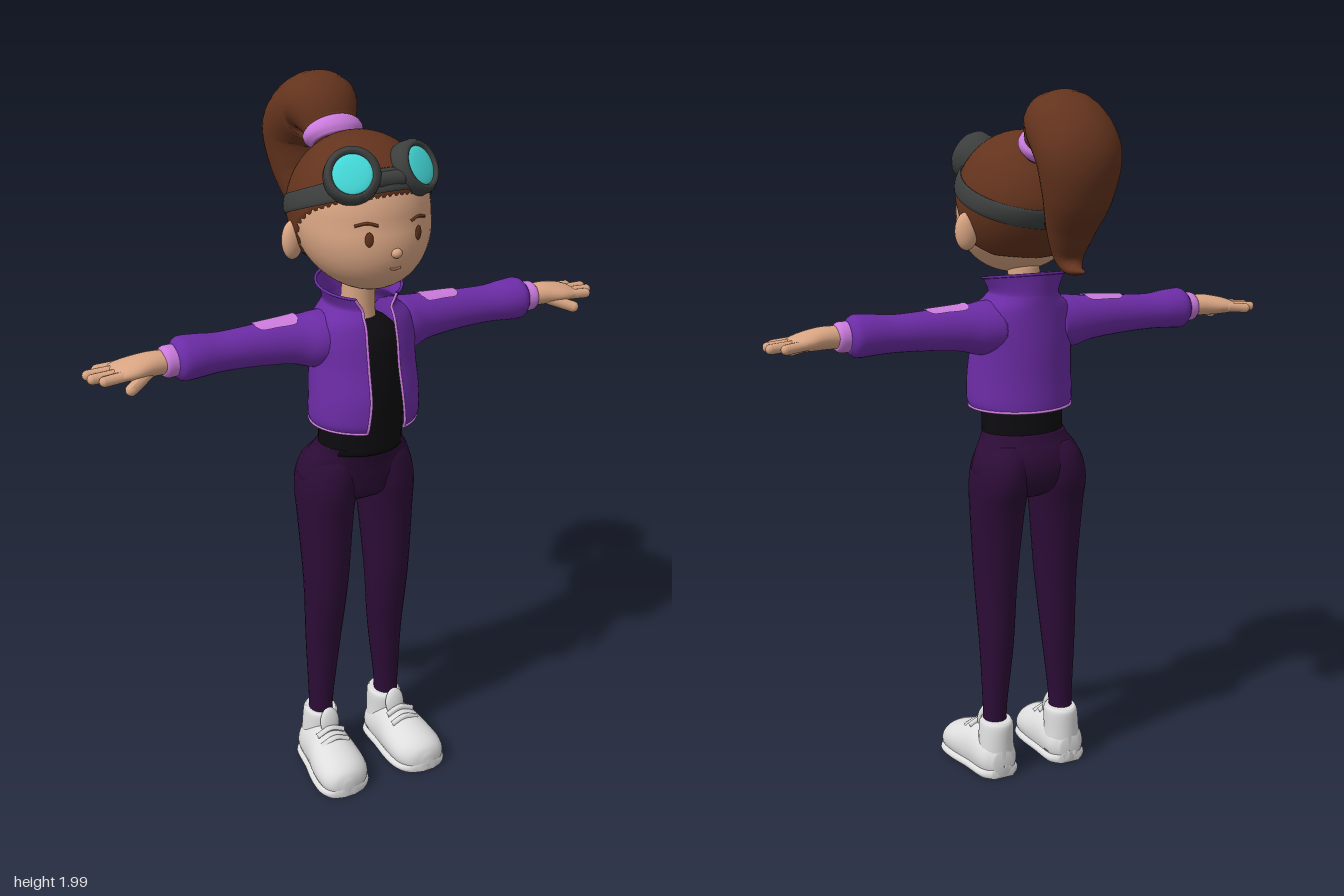
import * as THREE from 'three';
import { mergeVertices } from 'three/addons/utils/BufferGeometryUtils.js';

const V = (x, y, z) => new THREE.Vector3(x, y, z);
const X = V(1, 0, 0), Y = V(0, 1, 0), Z = V(0, 0, 1);

const paint = (name, color, side = THREE.FrontSide) => {
  const m = new THREE.MeshStandardMaterial({ color, side });
  m.name = name;
  return m;
};

// Skin of elliptical rings. Row: [x, y, z, radius along A, radius across, half gap angle]
function loft(rows, { A = X, T = null, seg = 28, steps = 5, open = false } = {}) {
  const path = new THREE.CatmullRomCurve3(rows.map(r => V(r[0], r[1], r[2])), false, 'catmullrom');
  const size = new THREE.CatmullRomCurve3(rows.map(r => V(r[3], r[4], r[5] || 0)), false, 'catmullrom');
  const n = (rows.length - 1) * steps, cols = open ? seg + 1 : seg, pos = [], idx = [];
  for (let i = 0; i <= n; i++) {
    const p = path.getPoint(i / n), s = size.getPoint(i / n);
    const B = (T || path.getTangent(i / n)).clone().cross(A).normalize();
    for (let j = 0; j < cols; j++) {
      const a = s.z + (2 * Math.PI - 2 * s.z) * j / seg;
      const q = p.clone().addScaledVector(A, Math.cos(a) * s.x).addScaledVector(B, Math.sin(a) * s.y);
      pos.push(q.x, q.y, q.z);
    }
  }
  for (let i = 0; i < n; i++) for (let j = 0; j < seg; j++) {
    const k = (j + 1) % cols, a = i * cols + j, b = i * cols + k;
    idx.push(a, b, b + cols, a, b + cols, a + cols);
  }
  if (!open) for (const end of [0, 1]) {
    const c = path.getPoint(end), m = pos.length / 3, o = end * n * cols;
    pos.push(c.x, c.y, c.z);
    for (let j = 0; j < seg; j++) {
      const k = (j + 1) % cols;
      end ? idx.push(m, o + j, o + k) : idx.push(m, o + k, o + j);
    }
  }
  const g = new THREE.BufferGeometry();
  g.setAttribute('position', new THREE.Float32BufferAttribute(pos, 3));
  g.setIndex(idx);
  g.computeVertexNormals();
  return g;
}

// Move every vertex by a rule on its position
function warp(g, rule) {
  const p = g.attributes.position, v = V(0, 0, 0);
  for (let i = 0; i < p.count; i++) {
    v.fromBufferAttribute(p, i);
    rule(v);
    p.setXYZ(i, v.x, v.y, v.z);
  }
  g.computeVertexNormals();
  return g;
}

// Replace every vertex by a rule on its surface parameters
function remap(g, rule) {
  const p = g.attributes.position, uv = g.attributes.uv;
  for (let i = 0; i < p.count; i++) p.setXYZ(i, ...rule(uv.getX(i), uv.getY(i)).toArray());
  g.deleteAttribute('uv');
  g.deleteAttribute('normal');
  g = mergeVertices(g, 1e-5);
  g.computeVertexNormals();
  return g;
}

function mirrored(g) {
  const m = g.clone().scale(-1, 1, 1), ix = m.index.array;
  for (let i = 0; i < ix.length; i += 3) [ix[i], ix[i + 1]] = [ix[i + 1], ix[i]];
  m.computeVertexNormals();
  return m;
}

const blob = (x, y, z, a, b, c, ry = 0, rx = 0) =>
  new THREE.SphereGeometry(1, 24, 16).scale(a, b, c).rotateX(rx).rotateY(ry).translate(x, y, z);
const tube = (pts, r) => new THREE.TubeGeometry(new THREE.CatmullRomCurve3(pts), pts.length * 4, r, 6);
function capsule(p, q, r) {
  const d = q.clone().sub(p), g = new THREE.CapsuleGeometry(r, d.length(), 6, 12);
  g.applyQuaternion(new THREE.Quaternion().setFromUnitVectors(Y, d.clone().normalize()));
  return g.translate((p.x + q.x) / 2, (p.y + q.y) / 2, (p.z + q.z) / 2);
}

// Head shape: ellipsoid whose lower half leans forward
const headPoint = (x, y, z, s = 1) => {
  const h = 1.68 + 0.195 * s * y;
  return V(0.185 * s * x, h, 0.1 + 0.19 * s * z + 0.3 * Math.max(0, 1.68 - h));
};
const facePoint = (x, y) => {
  const a = x / 0.185, b = (y - 1.68) / 0.195;
  return headPoint(a, b, Math.sqrt(1 - a * a - b * b), 1.005);
};
// Polar angle of the hairline, by angle from the front
const hairline = [[0, 1.2], [0.7, 1.25], [1.2, 1.45], [1.5, 1.7], [1.75, 2.15], [2.2, 2.35], [3.15, 2.42]];
function hairLimit(a) {
  const i = Math.max(1, hairline.findIndex(h => h[0] >= a)), [p, q] = [hairline[i - 1], hairline[i]];
  return THREE.MathUtils.lerp(p[1], q[1], (a - p[0]) / (q[0] - p[0]));
}

export function createModel() {
  const root = new THREE.Group();
  const skin = paint('skin', 0xd9a583), hair = paint('hair brown', 0x63331d);
  const purple = paint('jacket purple', 0x6c2ca6, THREE.DoubleSide), pink = paint('lavender', 0xcb7bdc, THREE.DoubleSide);
  const plum = paint('trouser plum', 0x2c0c36), black = paint('shirt black', 0x0d0b0f);
  const grey = paint('goggle grey', 0x3c3f3e), cyan = paint('lens cyan', 0x45dcdc);
  const white = paint('shoe white', 0xdedede), lip = paint('lip', 0xb57d66);
  const add = (name, g, mat) => {
    const m = new THREE.Mesh(g, mat);
    m.name = name;
    root.add(m);
  };
  const pair = (name, g, mat) => {
    add(name + 'Left', g, mat);
    add(name + 'Right', mirrored(g), mat);
  };

  // Head and face
  add('head', remap(new THREE.SphereGeometry(1, 48, 32), (u, v) => {
    const p = 2 * Math.PI * u, t = Math.PI * (1 - v);
    return headPoint(-Math.cos(p) * Math.sin(t), Math.cos(t), Math.sin(p) * Math.sin(t));
  }), skin);
  pair('ear', blob(0.183, 1.615, 0.08, 0.032, 0.052, 0.024, -0.3), skin);
  const e = facePoint(0.07, 1.652);
  pair('eye', blob(e.x, e.y, e.z, 0.011, 0.019, 0.005, 0.4), hair);
  pair('eyebrow', tube([[0.046, 1.685], [0.072, 1.692], [0.1, 1.685]].map(p => facePoint(...p)), 0.004), hair);
  add('nose', blob(0, 1.612, 0.298, 0.015, 0.013, 0.014), skin);
  add('mouth', tube([[-0.016, 1.572], [0, 1.569], [0.016, 1.572]].map(p => facePoint(...p)), 0.003), lip);
  add('neck', loft([[0, 1.33, 0.1, 0.06, 0.06], [0, 1.4, 0.095, 0.047, 0.048], [0, 1.53, 0.1, 0.045, 0.045]], { T: Y }), skin);

  // Hair cap with its edge tucked into the head
  add('hairCap', remap(new THREE.SphereGeometry(1, 64, 28), (u, v) => {
    const p = 2 * Math.PI * u;
    const t = (1 - v) * hairLimit(Math.acos(THREE.MathUtils.clamp(Math.sin(p), -1, 1)));
    return headPoint(-Math.cos(p) * Math.sin(t), Math.cos(t), Math.sin(p) * Math.sin(t), v < 0.01 ? 0.98 : 1.03);
  }), hair);
  add('ponytail', loft([
    [0, 1.82, -0.025, 0.06, 0.045], [0, 1.86, -0.06, 0.075, 0.056], [0, 1.905, -0.125, 0.108, 0.09],
    [0, 1.84, -0.212, 0.118, 0.095], [0, 1.74, -0.215, 0.1, 0.082], [0, 1.64, -0.178, 0.07, 0.058],
    [0, 1.57, -0.165, 0.045, 0.036], [0, 1.535, -0.19, 0.028, 0.017], [0, 1.533, -0.25, 0.004, 0.004],
  ], { seg: 36, steps: 7 }), hair);
  add('hairTie', loft([[0, 1.828, -0.03, 0.07, 0.055], [0, 1.84, -0.04, 0.083, 0.062],
    [0, 1.853, -0.051, 0.083, 0.062], [0, 1.862, -0.06, 0.07, 0.055]]), pink);

  // Goggles: strap, cups, lenses, bridge and rear buckle
  add('goggleStrap', remap(new THREE.TorusGeometry(1, 0.1, 10, 72), (u, v) => {
    const a = 2 * Math.PI * u, b = 2 * Math.PI * v, s = 1.04 + 0.025 * Math.cos(b);
    const y = (1.722 + 0.07 * Math.cos(a) + 0.027 * Math.sin(b) - 1.68) / (0.195 * s);
    const q = Math.sqrt(1 - y * y);
    return headPoint(q * Math.sin(a), y, q * Math.cos(a), s);
  }), grey);
  const cup = [[0.066, -0.045], [0.073, -0.01], [0.071, 0.018], [0.062, 0.03], [0.053, 0.03], [0.049, 0.018]];
  const aim = new THREE.Quaternion().setFromUnitVectors(Y, V(0.38, 0.45, 0.81).normalize());
  const place = g => g.applyQuaternion(aim).translate(0.088, 1.802, 0.225);
  pair('goggleCup', place(new THREE.LatheGeometry(cup.map(p => new THREE.Vector2(...p)), 32)), grey);
  pair('goggleLens', place(new THREE.SphereGeometry(1, 28, 8, 0, 2 * Math.PI, 0, Math.PI / 2)
    .scale(0.052, 0.009, 0.052).translate(0, 0.02, 0)), cyan);
  add('goggleBridge', capsule(V(-0.03, 1.79, 0.255), V(0.03, 1.79, 0.255), 0.022), grey);
  add('strapBuckle', new THREE.CylinderGeometry(0.034, 0.034, 0.016, 20).rotateX(Math.PI / 2)
    .translate(0, 1.645, -0.1), plum);

  // Shirt
  add('shirt', loft([[0, 1.02, 0.11, 0.121, 0.097], [0, 1.1, 0.115, 0.12, 0.099], [0, 1.22, 0.118, 0.12, 0.105],
    [0, 1.33, 0.112, 0.11, 0.1], [0, 1.375, 0.1, 0.08, 0.08], [0, 1.39, 0.097, 0.05, 0.05]], { T: Y }), black);

  // Open jacket with raised collar, trimmed along its edges
  const cols = 49, jacket = warp(loft([
    [0, 1.11, 0.126, 0.137, 0.148, 0.38], [0, 1.135, 0.13, 0.141, 0.154, 0.36], [0, 1.2, 0.13, 0.139, 0.152, 0.32],
    [0, 1.28, 0.12, 0.13, 0.148, 0.31], [0, 1.345, 0.115, 0.124, 0.148, 0.31], [0, 1.395, 0.11, 0.118, 0.135, 0.33],
    [0, 1.425, 0.104, 0.112, 0.105, 0.43], [0, 1.442, 0.102, 0.11, 0.097, 0.47], [0, 1.482, 0.1, 0.113, 0.115, 0.56],
  ], { A: Z, T: Y, seg: cols - 1, open: true }), v => {
    v.y -= THREE.MathUtils.smoothstep(v.y, 1.42, 1.485) * (v.z - 0.1) * 0.15;
  });
  add('jacket', jacket, purple);
  const jp = jacket.attributes.position, rings = jp.count / cols;
  const edge = (start, stride, count) =>
    tube(Array.from({ length: count }, (_, i) => V(0, 0, 0).fromBufferAttribute(jp, start + i * stride)), 0.004);
  add('hemTrim', edge(0, 1, cols), pink);
  add('collarTrim', edge((rings - 1) * cols, 1, cols), purple);
  add('frontTrimLeft', edge(0, cols, rings), pink);
  add('frontTrimRight', edge(cols - 1, cols, rings), pink);

  // Sleeves, shoulder patches, cuffs
  pair('sleeve', loft([[0.09, 1.343, 0.1, 0.085, 0.076], [0.14, 1.343, 0.098, 0.078, 0.075], [0.2, 1.348, 0.092, 0.062, 0.064],
    [0.3, 1.35, 0.09, 0.052, 0.056], [0.4, 1.35, 0.09, 0.052, 0.052], [0.47, 1.352, 0.092, 0.06, 0.057],
    [0.51, 1.352, 0.092, 0.06, 0.058], [0.53, 1.352, 0.092, 0.043, 0.043]], { A: Z }), purple);
  const pg = Math.PI - 0.6;
  pair('shoulderPatch', loft([[0.185, 1.347, 0.093, 0.071, 0.069, pg + 0.25], [0.2, 1.348, 0.092, 0.068, 0.066, pg],
    [0.25, 1.349, 0.091, 0.064, 0.06, pg], [0.29, 1.35, 0.09, 0.061, 0.056, pg], [0.305, 1.35, 0.09, 0.06, 0.056, pg + 0.25]],
    { A: V(0, -1, 0), open: true, seg: 12 }), pink);
  pair('cuff', loft([[0.51, 1.352, 0.094, 0.042, 0.041], [0.55, 1.352, 0.095, 0.043, 0.042],
    [0.563, 1.352, 0.095, 0.036, 0.034]], { A: Z }), pink);

  // Hands
  pair('palm', loft([[0.54, 1.352, 0.095, 0.035, 0.03], [0.59, 1.354, 0.096, 0.042, 0.031], [0.64, 1.35, 0.094, 0.054, 0.027],
    [0.68, 1.346, 0.09, 0.052, 0.019], [0.695, 1.345, 0.09, 0.04, 0.01]], { A: Z }), skin);
  [[0.05, 0.715, 0.042], [0.077, 0.748, 0.068], [0.104, 0.746, 0.1], [0.128, 0.724, 0.128]].forEach(([z, x, tz], i) =>
    pair('finger' + (i + 1), capsule(V(0.66, 1.347, z), V(x, 1.342, tz), 0.014), skin));
  pair('thumb', capsule(V(0.605, 1.34, 0.118), V(0.665, 1.318, 0.153), 0.016), skin);

  // Trousers
  add('hips', loft([[0, 0.85, 0.08, 0.04, 0.04], [0, 0.88, 0.08, 0.13, 0.085], [0, 0.93, 0.078, 0.17, 0.102],
    [0, 0.98, 0.085, 0.158, 0.104], [0, 1.02, 0.1, 0.132, 0.1], [0, 1.04, 0.108, 0.123, 0.1]], { T: Y, seg: 36 }), plum);
  pair('leg', loft([[0.11, 0.14, 0.08, 0.034, 0.037], [0.109, 0.22, 0.08, 0.036, 0.04], [0.102, 0.4, 0.081, 0.05, 0.053],
    [0.098, 0.6, 0.092, 0.062, 0.073], [0.095, 0.8, 0.085, 0.077, 0.087], [0.091, 0.9, 0.078, 0.083, 0.106],
    [0.08, 0.97, 0.08, 0.078, 0.1], [0.07, 1.01, 0.09, 0.055, 0.08]], { T: Y }), plum);

  // Shoes
  const floor = v => { v.y = Math.max(0, v.y); };
  const foot = [[0.112, 0.045, 0.017, 0.03, 0.04], [0.113, 0.05, 0.05, 0.058, 0.062], [0.117, 0.055, 0.13, 0.067, 0.08],
    [0.122, 0.05, 0.2, 0.077, 0.066], [0.126, 0.043, 0.26, 0.075, 0.055], [0.13, 0.036, 0.293, 0.053, 0.042],
    [0.132, 0.032, 0.306, 0.015, 0.02]];
  pair('shoe', warp(loft(foot, { T: Z }), floor), white);
  pair('sole', warp(loft(foot.map(r => [r[0], 0.012, r[2], r[3] + 0.005, 0.026]), { T: Z }), floor), white);
  pair('shoeAnkle', loft([[0.11, 0.03, 0.072, 0.056, 0.055], [0.11, 0.1, 0.072, 0.052, 0.056],
    [0.108, 0.155, 0.074, 0.049, 0.058], [0.108, 0.17, 0.074, 0.042, 0.05]], { T: Y }), white);
  pair('shoeTongue', blob(0.11, 0.148, 0.137, 0.03, 0.045, 0.014, 0, -0.15), white);
  [[0.136, 0.155], [0.121, 0.185]].forEach(([y, z], i) =>
    pair('lace' + (i + 1), tube([V(0.075, y - 0.016, z), V(0.118, y, z), V(0.16, y - 0.016, z)], 0.009), white));
  return root;
}
